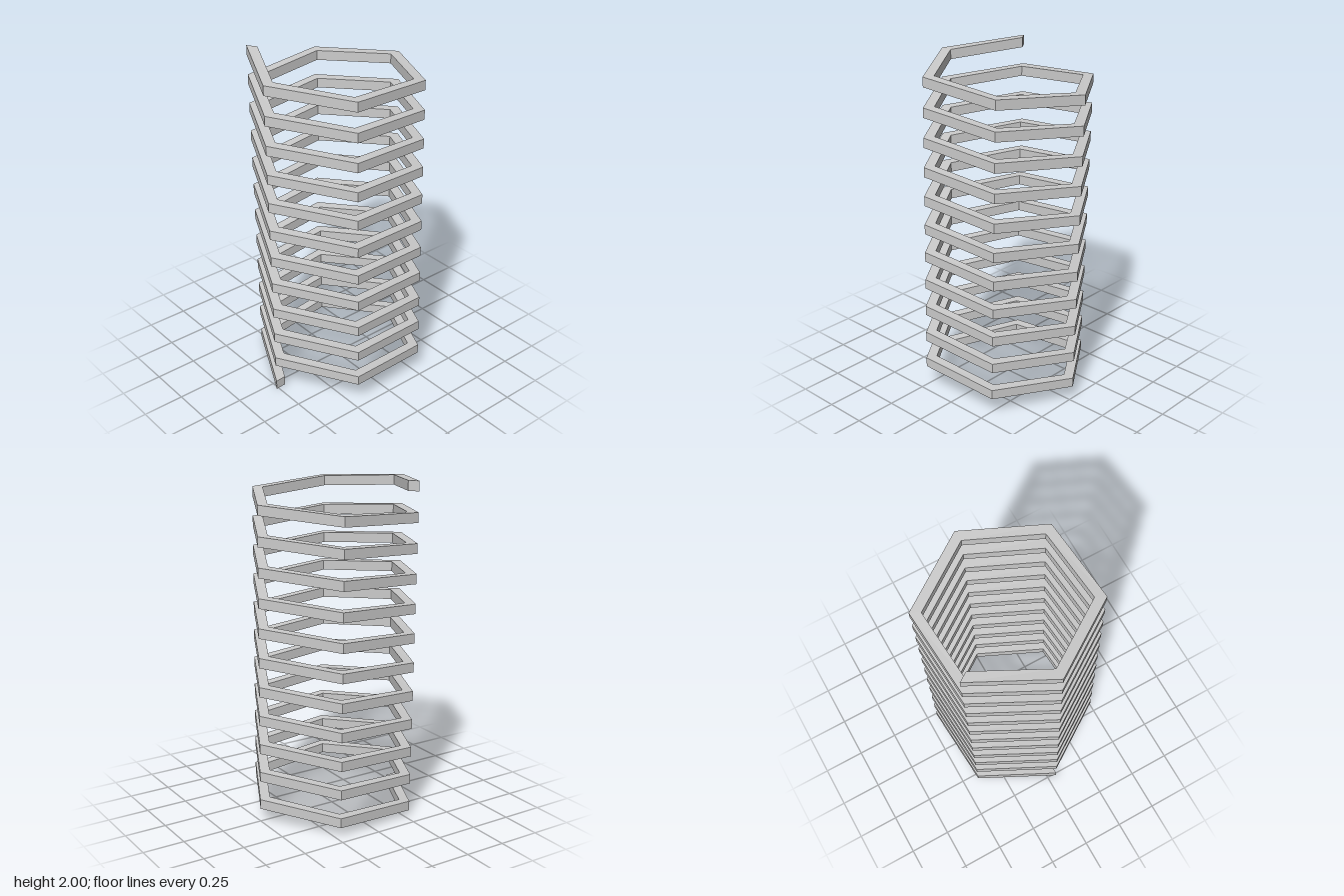
import * as THREE from 'three';

const SEGMENTS = 67;          // straight bars, six per turn
const OUTER = 0.512, INNER = 0.446, HEIGHT = 0.058;
const START = THREE.MathUtils.degToRad(-3.9);

// Corners of the bar's section at joint i: outer bottom, outer top, inner top, inner bottom
function section(i) {
  const t = i / SEGMENTS;
  const angle = START + i * Math.PI / 3;
  const y = t * (2 - HEIGHT);
  const leanX = 0.02 - 0.04 * t, leanZ = 0.0025 - 0.005 * t;   // the coil leans very slightly
  return [[OUTER, 0], [OUTER, HEIGHT], [INNER, HEIGHT], [INNER, 0]].map(([r, h]) =>
    [leanX - r * Math.sin(angle), y + h, leanZ + r * Math.cos(angle)]);
}

function coilGeometry() {
  const positions = [], index = [];
  const quad = (a, b, c, d) => index.push(a, b, c, a, c, d);
  for (let i = 0; i <= SEGMENTS; i++) positions.push(...section(i).flat());

  // Four walls of every bar
  for (let i = 0; i < SEGMENTS; i++) {
    const a = i * 4, b = a + 4;
    for (let j = 0; j < 4; j++) {
      const k = (j + 1) % 4;
      quad(b + j, a + j, a + k, b + k);
    }
  }

  // End caps
  const e = SEGMENTS * 4;
  quad(0, 3, 2, 1);
  quad(e, e + 1, e + 2, e + 3);

  const indexed = new THREE.BufferGeometry();
  indexed.setAttribute('position', new THREE.Float32BufferAttribute(positions, 3));
  indexed.setIndex(index);
  const geometry = indexed.toNonIndexed();
  geometry.computeVertexNormals();
  return geometry;
}

export function createModel() {
  const group = new THREE.Group();
  group.name = 'hexagonalSpring';
  const material = new THREE.MeshStandardMaterial({ color: 0xcccccc, flatShading: true });
  const coil = new THREE.Mesh(coilGeometry(), material);
  coil.name = 'coil';
  group.add(coil);
  return group;
}
